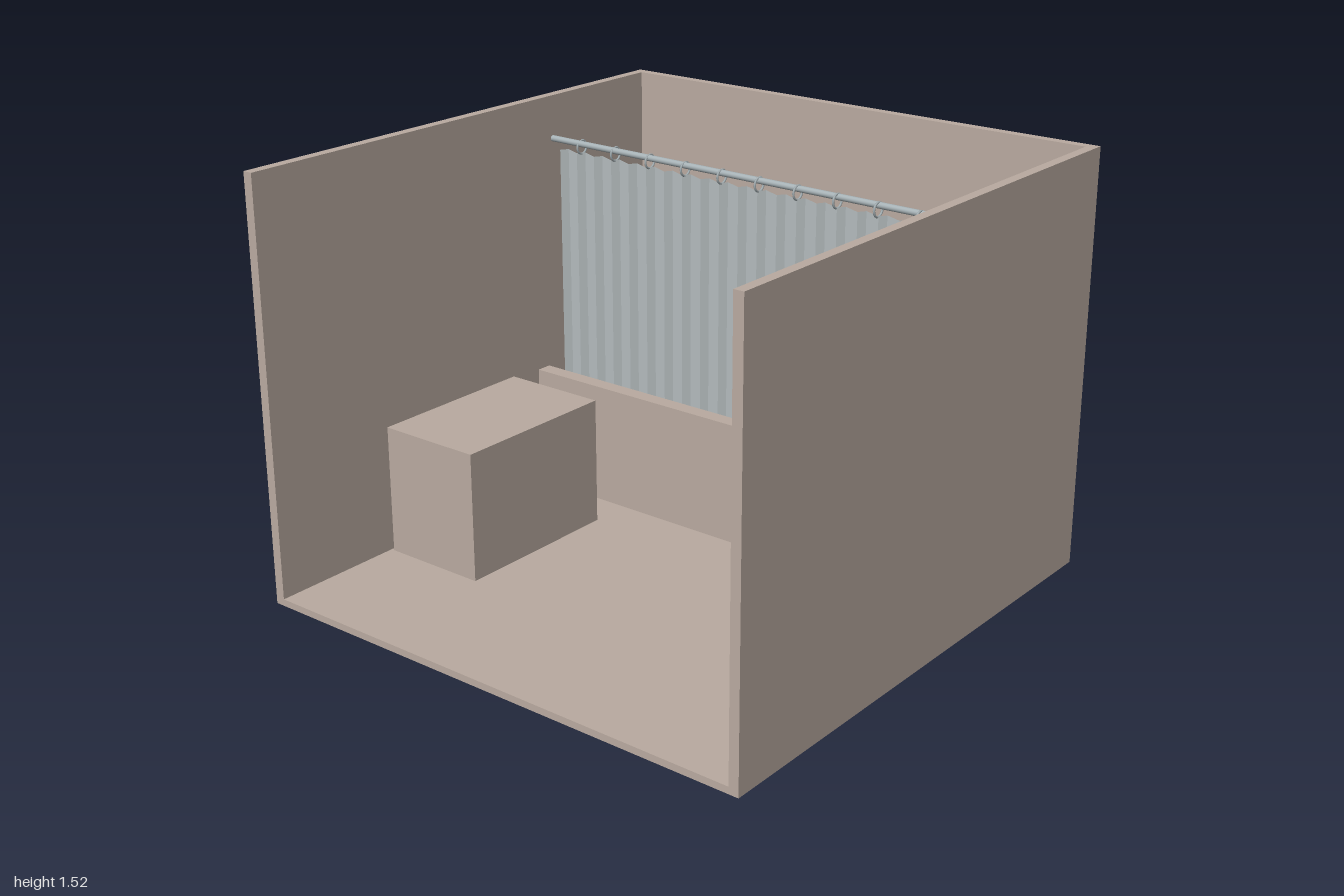
import * as THREE from 'three';

const mat = (name, color, extra = {}) => {
  const m = new THREE.MeshStandardMaterial({ color, ...extra });
  m.name = name;
  return m;
};

export function createModel() {
  const model = new THREE.Group();
  model.name = 'showerRoom';
  const plaster = mat('warm plaster', 0xb9aaa0);
  const steel = mat('brushed steel', 0xa5b0b4);
  const cloth = mat('curtain cloth', 0xbcc4c6, { side: THREE.DoubleSide, flatShading: true });

  const add = (parent, name, geometry, material, x = 0, y = 0, z = 0) => {
    const mesh = new THREE.Mesh(geometry, material);
    mesh.name = name;
    mesh.position.set(x, y, z);
    parent.add(mesh);
    return mesh;
  };

  // Room shell, turned very slightly and open on the -x side
  const room = new THREE.Group();
  room.name = 'room';
  room.rotation.y = 0.0145;
  model.add(room);
  // Box given by its minimum and maximum corners
  const block = (name, x0, y0, z0, x1, y1, z1) =>
    add(room, name, new THREE.BoxGeometry(x1 - x0, y1 - y0, z1 - z0), plaster,
      (x0 + x1) / 2, (y0 + y1) / 2, (z0 + z1) / 2);

  const H = 0.9857, T = 0.036, F = 0.025, TOP = 1.52;
  block('floor', -H, 0, -H, H, F, H);
  block('backWall', -H, F, -H, H, TOP, -H + T);
  block('frontWall', -H, F, H - T, H, TOP, H);
  block('sideWall', H - T, F, -H + T, H, TOP, H - T);

  // Low wall in front of the shower, and the cabinet by the back wall
  block('showerLowWall', 0.322, F, -H + T, 0.381, 0.48, H - T);
  block('cabinet', -0.48, F, -0.937, 0.17, 0.5, -0.535);

  // Curtain rod
  const rodX = 0.417, rodY = 1.36;
  const rod = new THREE.CylinderGeometry(0.0115, 0.0115, 1.895, 16).rotateX(Math.PI / 2);
  add(model, 'curtainRod', rod, steel, rodX, rodY, -0.007);

  // Rings hung along the rod
  const ring = new THREE.TorusGeometry(0.025, 0.004, 6, 16);
  const count = 11, pitch = 0.164;
  for (let i = 0; i < count; i++) {
    const z = (i - (count - 1) / 2) * pitch;
    add(model, 'curtainRing', ring, steel, rodX - 0.012 * z, rodY - 0.014, z);
  }

  // Pleated curtain: broad faces with short steep returns
  const pleats = 22, length = 1.82, y0 = 0.1, y1 = 1.325;
  const sheet = new THREE.PlaneGeometry(length, y1 - y0, pleats * 2, 1);
  const p = sheet.attributes.position;
  const step = length / (pleats * 2);
  for (let i = 0; i < p.count; i++) {
    const odd = (i % (pleats * 2 + 1)) % 2;
    p.setX(i, p.getX(i) + (odd ? step * 0.6 : 0));
    p.setZ(i, odd ? 0.018 : -0.01);
  }
  const pleated = sheet.toNonIndexed().rotateY(Math.PI / 2);
  pleated.computeVertexNormals();
  add(model, 'showerCurtain', pleated, cloth, rodX, (y0 + y1) / 2, 0);

  return model;
}
